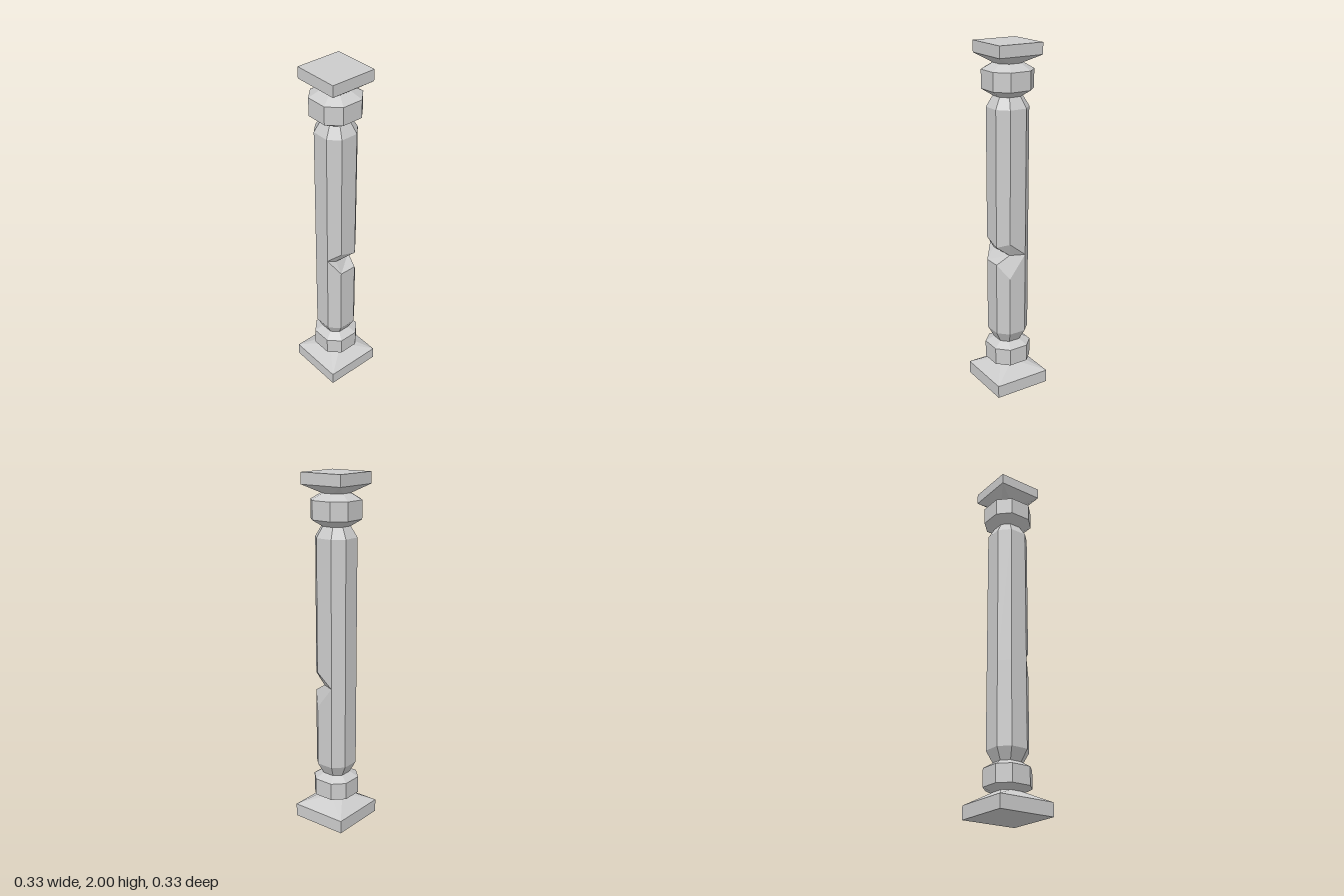
import * as THREE from 'three';

const material = new THREE.MeshStandardMaterial({ color: 0xcccccc, flatShading: true });

// Eight-sided ring of half width h, flat half width e; e = h collapses to a square.
// Order: left-front, front-left, front-right, right-front, right-back, ...
function ring(y, h, e = h * 0.48) {
  return [[-h, e], [-e, h], [e, h], [h, e], [h, -e], [e, -h], [-e, -h], [-h, -e]]
    .map(([x, z]) => new THREE.Vector3(x, y, z));
}
const square = (y, h) => ring(y, h, h);

// Faceted skin through the rings, skipping collapsed triangles.
function loft(name, rings, { bottom = false, top = false } = {}) {
  const pos = [];
  const tri = (a, b, c) => {
    if (new THREE.Triangle(a, b, c).getArea() < 1e-8) return;
    for (const p of [a, b, c]) pos.push(p.x, p.y, p.z);
  };
  for (let k = 0; k + 1 < rings.length; k++) {
    const lo = rings[k], hi = rings[k + 1];
    for (let i = 0; i < 8; i++) {
      const j = (i + 1) % 8;
      tri(lo[i], lo[j], hi[j]);
      tri(lo[i], hi[j], hi[i]);
    }
  }
  const first = rings[0], last = rings[rings.length - 1];
  for (let i = 1; i < 7; i++) {
    if (bottom) tri(first[0], first[i + 1], first[i]);
    if (top) tri(last[0], last[i], last[i + 1]);
  }
  const geo = new THREE.BufferGeometry();
  geo.setAttribute('position', new THREE.Float32BufferAttribute(pos, 3));
  geo.computeVertexNormals();
  const mesh = new THREE.Mesh(geo, material);
  mesh.name = name;
  return mesh;
}

// Shaft ring with its own height at each corner.
const cutRing = (heights, h) => ring(0, h, 0.05).map((p, i) => p.setY(heights[i]));

export function createModel() {
  const group = new THREE.Group();
  group.name = 'column';
  const neck = 0.072, shaft = 0.105;

  group.add(loft('plinth', [square(0, 0.167), square(0.075, 0.167), ring(0.13, neck)], { bottom: true }));

  group.add(loft('lowerBand', [
    ring(0.13, neck), ring(0.155, 0.118), ring(0.255, 0.118), ring(0.285, neck),
  ]));

  // Shaft with a broken notch across its front and left corner
  const back = [0.83, 0.83, 0.83];
  const notchBottom = cutRing([0.87, 0.78, 0.78, 0.70, 0.83, ...back], shaft);
  const notchTop = cutRing([0.87, 0.92, 0.885, 0.91, 0.83, ...back], shaft);
  const crease = notchTop.map((p) => p.clone());
  crease[1].set(-0.05, 0.845, 0.06);
  crease[2].set(0.067, 0.828, 0.03);
  crease[3].copy(crease[2]);
  group.add(loft('shaft', [
    ring(0.285, neck), ring(0.35, shaft, 0.05),
    notchBottom, crease, notchTop,
    ring(1.66, shaft, 0.05), ring(1.72, neck),
  ]));

  group.add(loft('upperBand', [
    ring(1.72, neck), ring(1.757, 0.127), ring(1.858, 0.127), ring(1.893, neck),
  ]));

  group.add(loft('capSlab', [ring(1.893, neck), square(1.937, 0.132), square(2, 0.132)], { top: true }));

  return group;
}
